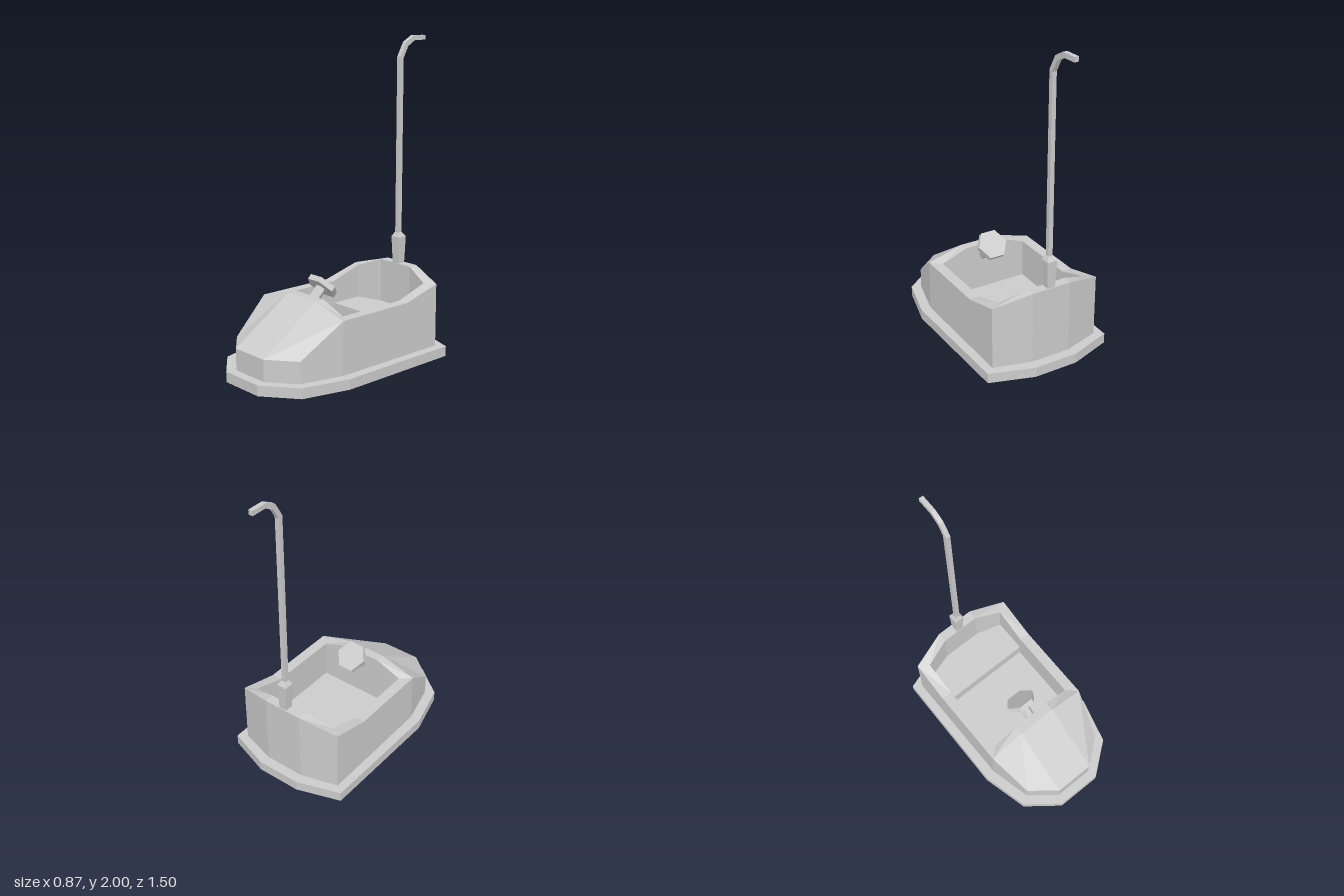
import * as THREE from 'three';

const material = new THREE.MeshStandardMaterial({ color: 0xcccccc, flatShading: true });

// Joins rings of [x, y, z] points (counter-clockwise seen from above) into a faceted skin.
function loft(rings, capStart = true, capEnd = true) {
  const pos = [];
  const tri = (a, b, c) => pos.push(...a, ...b, ...c);
  const n = rings[0].length;
  for (let r = 0; r < rings.length - 1; r++) {
    for (let i = 0; i < n; i++) {
      const j = (i + 1) % n;
      tri(rings[r][i], rings[r][j], rings[r + 1][j]);
      tri(rings[r][i], rings[r + 1][j], rings[r + 1][i]);
    }
  }
  const first = rings[0], last = rings[rings.length - 1];
  for (let i = 1; i < n - 1; i++) {
    if (capStart) tri(first[0], first[i + 1], first[i]);
    if (capEnd) tri(last[0], last[i], last[i + 1]);
  }
  const geometry = new THREE.BufferGeometry();
  geometry.setAttribute('position', new THREE.Float32BufferAttribute(pos, 3));
  geometry.computeVertexNormals();
  return geometry;
}

// Completes a +x half outline, listed front to back, with its mirror image.
const mirror = (half) => [...half, ...[...half].reverse().map(([x, y, z]) => [-x, y, z])];
const atHeight = (half, y) => mirror(half.map(([x, z]) => [x, y, z]));

export function createModel() {
  const group = new THREE.Group();
  const add = (name, geometry) => {
    const mesh = new THREE.Mesh(geometry, material);
    mesh.name = name;
    group.add(mesh);
    return mesh;
  };

  // Bumper skirt around the bottom
  const skirt = [[0.15, 0.75], [0.355, 0.59], [0.433, 0.29], [0.423, -0.55], [0.145, -0.642]];
  add('bumper', loft([atHeight(skirt, 0), atHeight(skirt, 0.065)]));

  // Body shell: outer wall, sloping hood, rim, inner wall and floor
  const outer = [[0.13, 0.69], [0.3, 0.555], [0.368, 0.285], [0.368, -0.245], [0.368, -0.51], [0.13, -0.578]];
  const wallTop = [0.2, 0.2, 0.4, 0.4, 0.47, 0.535];
  const wall = outer.map(([x, z], i) => [x, wallTop[i], z]);
  const rim = [[0.13, 0.465, 0.285], wall[2], ...wall.slice(2)];
  const inner = [
    [0.13, 0.465, 0.225], [0.3, 0.4, 0.225], [0.3, 0.4, 0.225],
    [0.3, 0.4, -0.245], [0.3, 0.47, -0.465], [0.13, 0.535, -0.515],
  ];
  const floor = inner.map(([x, , z]) => [x, 0.15, z]);
  add('body', loft([atHeight(outer, 0.06), ...[wall, rim, inner, floor].map(mirror)], false, true));

  // Bench seat at the back of the cockpit
  const bench = [[0.3, -0.25], [0.3, -0.465], [0.13, -0.515]];
  add('seat', loft([atHeight(bench, 0.14), atHeight(bench, 0.25)]));

  // Steering wheel and column, tilted back towards the driver
  const steering = new THREE.Group();
  steering.name = 'steering';
  const wheel = add('steeringWheel', new THREE.CylinderGeometry(0.1, 0.1, 0.035, 6));
  wheel.rotation.y = Math.PI / 6;
  wheel.rotation.y += Math.PI / 3;
  const column = add('steeringColumn', new THREE.CylinderGeometry(0.034, 0.034, 0.17, 6));
  column.position.y = -0.09;
  column.rotation.y = Math.PI / 2;
  steering.add(wheel, column);
  steering.position.set(0, 0.503, 0.12);
  steering.rotation.x = -Math.PI / 4;
  group.add(steering);

  // Square-section rods, each row: front z, y, back z, y, half width
  const rod = (rows) => loft(rows.map(([zf, yf, zb, yb, w]) => [
    [-w, yf, zf], [w, yf, zf], [w, yb, zb], [-w, yb, zb],
  ]));
  add('poleSocket', rod([
    [-0.518, 0.45, -0.572, 0.45, 0.025],
    [-0.518, 0.535, -0.572, 0.535, 0.026],
    [-0.511, 0.71, -0.577, 0.71, 0.033],
    [-0.525, 0.738, -0.557, 0.738, 0.016],
  ]));
  add('pole', rod([
    [-0.526, 0.72, -0.556, 0.72, 0.014],
    [-0.526, 1.87, -0.556, 1.862, 0.014],
    [-0.578, 1.962, -0.597, 1.935, 0.014],
    [-0.648, 2, -0.657, 1.97, 0.014],
    [-0.755, 2, -0.755, 1.97, 0.014],
  ]));

  return group;
}
